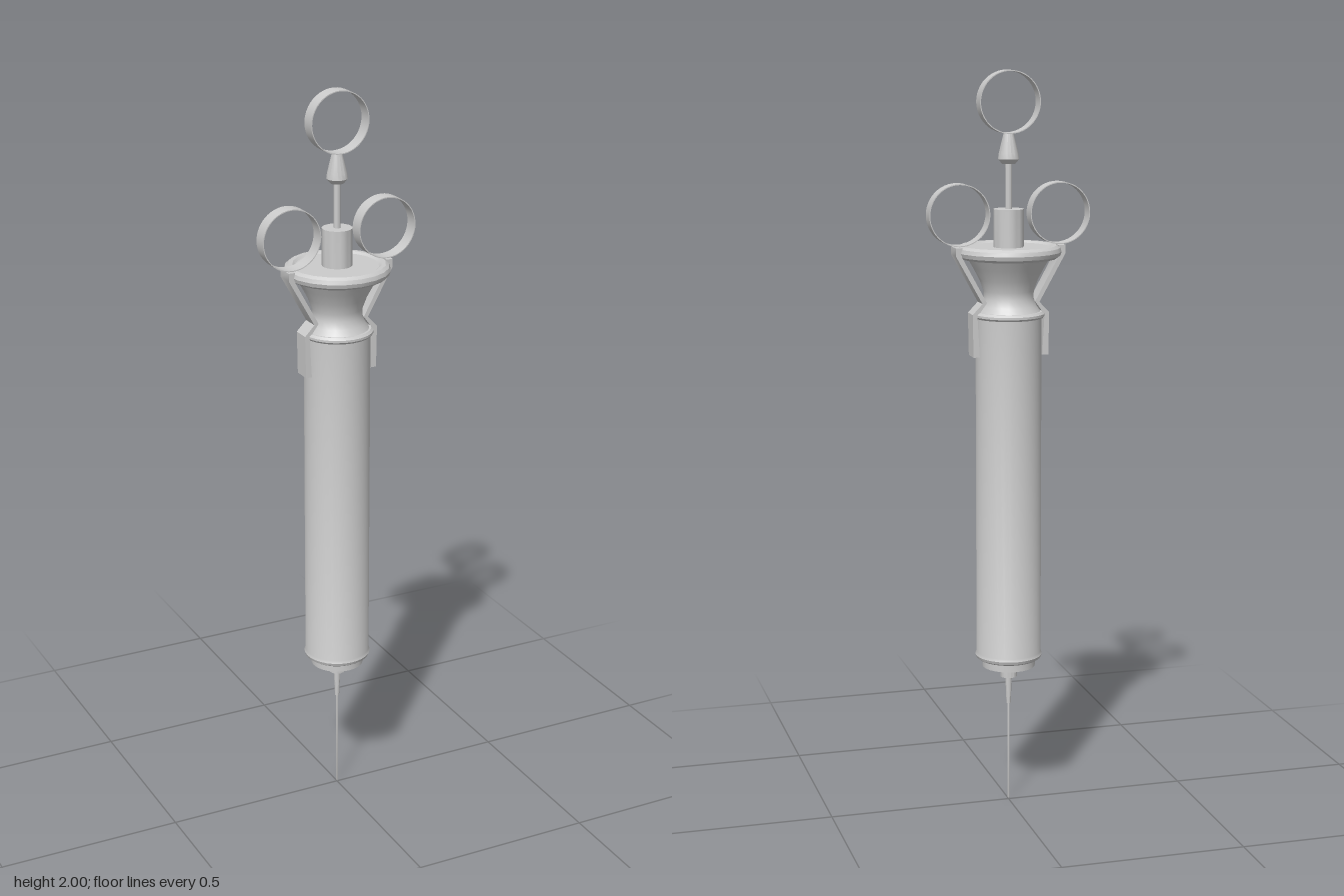
import * as THREE from 'three';
import { toCreasedNormals } from 'three/addons/utils/BufferGeometryUtils.js';

const material = new THREE.MeshStandardMaterial({ color: 0xcccccc });

function addMesh(parent, name, geometry) {
  const mesh = new THREE.Mesh(toCreasedNormals(geometry, 0.6), material);
  mesh.name = name;
  parent.add(mesh);
  return mesh;
}

// Turned part from [radius, height] pairs, listed bottom to top
function turned(parent, name, profile, sides = 24) {
  const points = profile.map(([r, y]) => new THREE.Vector2(r, y));
  return addMesh(parent, name, new THREE.LatheGeometry(points, sides));
}

// Thin finger band with its hole facing the front
function fingerRing(parent, name, x, y) {
  const r = 0.082, t = 0.0025, w = 0.02;
  const ring = turned(parent, name, [[r - t, -w], [r, -w], [r, w], [r - t, w], [r - t, -w]], 48);
  ring.rotation.x = Math.PI / 2;
  ring.position.set(x, y, 0);
}

export function createModel() {
  const model = new THREE.Group();
  model.name = 'syringe';

  // Needle and its stepped hub
  turned(model, 'needle', [[0, 0], [0.003, 0.006], [0.003, 0.29], [0, 0.29]], 10);
  turned(model, 'needleHub', [
    [0, 0.28], [0.006, 0.28], [0.009, 0.352], [0.009, 0.358],
    [0.023, 0.358], [0.023, 0.395], [0, 0.395],
  ], 16);

  // Barrel with a narrower end cap
  turned(model, 'endCap', [[0, 0.39], [0.072, 0.39], [0.072, 0.415], [0, 0.415]]);
  turned(model, 'barrel', [
    [0, 0.412], [0.082, 0.412], [0.088, 0.416], [0.091, 0.424], [0.088, 0.432],
    [0.088, 1.36], [0, 1.36],
  ], 32);

  // Rounded collar and waisted neck
  turned(model, 'collar', [
    [0, 1.353], [0.092, 1.353], [0.096, 1.358], [0.096, 1.364], [0.09, 1.37], [0, 1.37],
  ]);
  turned(model, 'neck', [
    [0.088, 1.365], [0.074, 1.385], [0.066, 1.405], [0.067, 1.425],
    [0.078, 1.455], [0.094, 1.485], [0.112, 1.515],
  ]);

  // Flange: round rim around a flat plate
  const rim = addMesh(model, 'flangeRim', new THREE.TorusGeometry(0.122, 0.018, 10, 20));
  rim.rotation.x = Math.PI / 2;
  rim.position.y = 1.528;
  turned(model, 'flangePlate', [[0, 1.512], [0.118, 1.512], [0.118, 1.54], [0, 1.54]], 20);

  // Plunger: guide sleeve, rod, tapered knob and thumb ring
  turned(model, 'guideSleeve', [[0, 1.53], [0.04, 1.53], [0.04, 1.64], [0, 1.64]]);
  turned(model, 'plungerRod', [[0, 1.63], [0.009, 1.63], [0.009, 1.77], [0, 1.77]], 12);
  turned(model, 'plungerKnob', [
    [0, 1.758], [0.018, 1.758], [0.028, 1.77], [0.026, 1.785], [0.013, 1.838], [0, 1.838],
  ], 16);
  fingerRing(model, 'thumbRing', 0, 1.918);

  // Bent side straps carrying the finger rings
  const strap = new THREE.Shape([
    [0.086, 1.252], [0.103, 1.252], [0.105, 1.366], [0.078, 1.394],
    [0.15, 1.522], [0.15, 1.543], [0.132, 1.543], [0.132, 1.516],
    [0.066, 1.396], [0.092, 1.36],
  ].map(([x, y]) => new THREE.Vector2(x, y)));
  for (const side of [1, -1]) {
    const sideName = side > 0 ? 'left' : 'right';
    const geometry = new THREE.ExtrudeGeometry(strap, { depth: 0.05, bevelEnabled: false });
    geometry.translate(0, 0, -0.025);
    if (side < 0) geometry.rotateY(Math.PI);
    addMesh(model, sideName + 'Strap', geometry);
    fingerRing(model, sideName + 'FingerRing', side * 0.137, 1.627);
  }

  return model;
}
